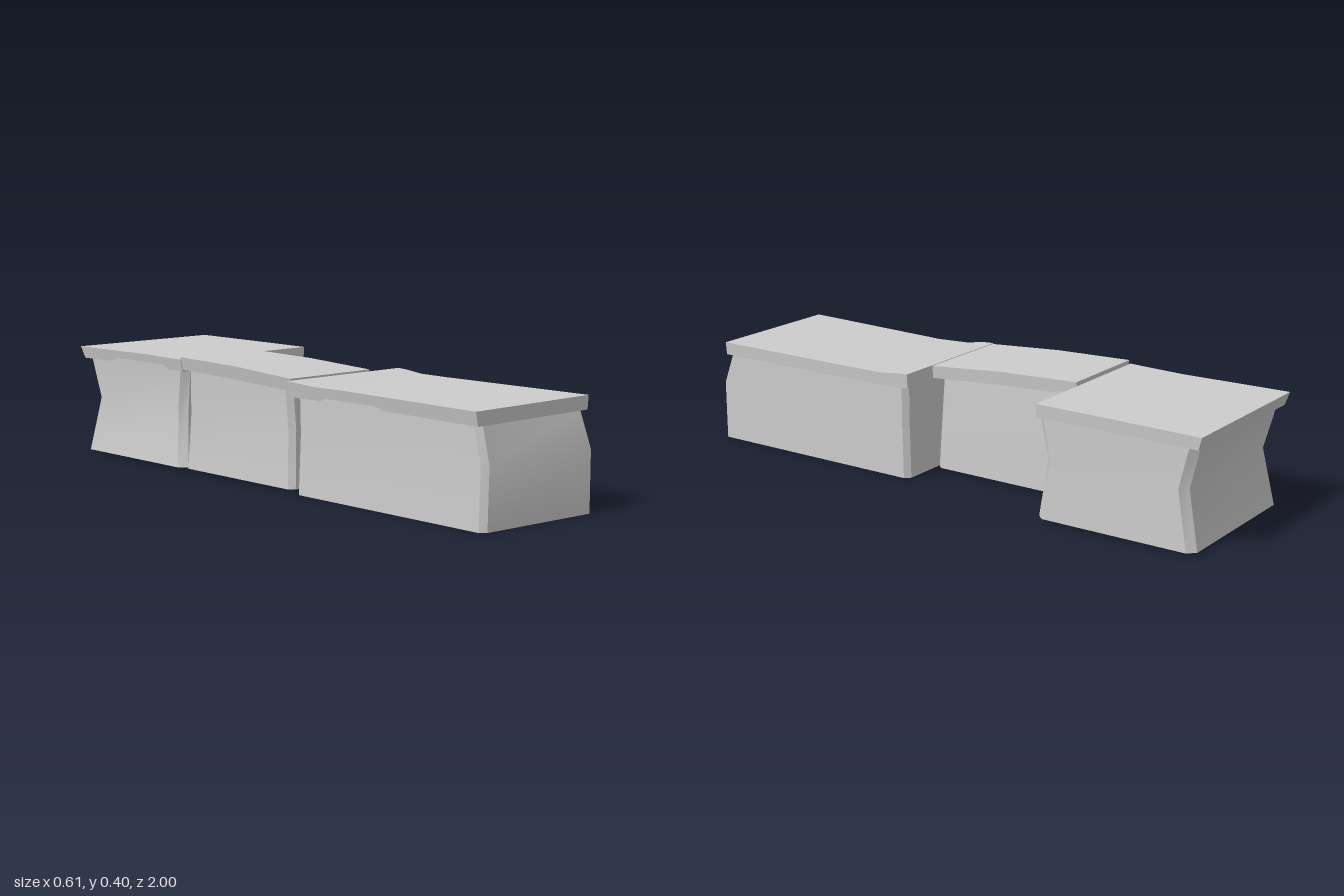
import * as THREE from 'three';
import { toCreasedNormals } from 'three/addons/utils/BufferGeometryUtils.js';

// Skin a row of matching rings; optionally close both ends.
function loft(rings, capped) {
  const pos = [];
  const tri = (a, b, c) => pos.push(...a, ...b, ...c);
  const n = rings[0].length;
  for (let r = 0; r < rings.length - 1; r++) {
    const a = rings[r], b = rings[r + 1];
    for (let i = 0; i < n; i++) {
      const j = (i + 1) % n;
      tri(a[i], a[j], b[j]);
      tri(a[i], b[j], b[i]);
    }
  }
  if (capped) {
    const first = rings[0], last = rings[rings.length - 1];
    for (let i = 1; i < n - 1; i++) {
      tri(first[0], first[i + 1], first[i]);
      tri(last[0], last[i], last[i + 1]);
    }
  }
  const geo = new THREE.BufferGeometry();
  geo.setAttribute('position', new THREE.Float32BufferAttribute(pos, 3));
  return toCreasedNormals(geo, 0.5);
}

// Horizontal rectangle with cut corners; skew pulls the -x front corner back.
function bodyRing([y, xl, xr, zb, zf, skew = 0], c) {
  const zl = zf - skew;
  return [
    [xr - c, y, zf], [xr, y, zf - c], [xr, y, zb + c], [xr - c, y, zb],
    [xl + c, y, zb], [xl, y, zb + c], [xl, y, zl - c], [xl + c, y, zl],
  ];
}

// Lid cross-section at one z, slightly narrower underneath.
function lidRing([z, xl, xr, yb, yt, shift = 0]) {
  return [
    [xl + 0.01, yb, z + shift], [xr - 0.004, yb, z + shift],
    [xr, yt, z], [xl, yt, z],
  ];
}

// Body levels: y, left, right, back, front, skew. Lid stations: z, left, right, bottom, top, shift.
const blocks = [
  {
    name: 'front', cut: 0.018,
    body: [
      [0, -0.275, 0.195, 0.16, 1.0, 0.03],
      [0.2, -0.27, 0.195, 0.165, 1.0, 0.03],
      [0.325, -0.273, 0.195, 0.165, 0.952, 0.01],
    ],
    lid: [
      [0.153, -0.3, 0.205, 0.32, 0.37],
      [0.19, -0.3, 0.205, 0.318, 0.368],
      [0.26, -0.285, 0.205, 0.316, 0.36],
      [0.37, -0.272, 0.205, 0.315, 0.359],
      [0.963, -0.306, 0.207, 0.315, 0.36],
    ],
  },
  {
    name: 'middle', cut: 0.018,
    body: [
      [0.01, -0.272, 0.06, -0.41, 0.14],
      [0.2, -0.26, 0.055, -0.405, 0.13],
      [0.36, -0.268, 0.045, -0.395, 0.125],
    ],
    lid: [
      [-0.408, -0.288, 0.045, 0.354, 0.398],
      [-0.13, -0.283, 0.06, 0.345, 0.391],
      [0.14, -0.276, 0.08, 0.331, 0.374],
    ],
  },
  {
    name: 'back', cut: 0.025,
    body: [
      [0.01, -0.283, 0.283, -0.975, -0.41],
      [0.205, -0.255, 0.28, -0.94, -0.44],
      [0.36, -0.268, 0.283, -0.978, -0.408],
    ],
    lid: [
      [-1.0, -0.282, 0.304, 0.345, 0.387, 0.012],
      [-0.62, -0.268, 0.297, 0.345, 0.388],
      [-0.416, -0.283, 0.294, 0.345, 0.388],
    ],
  },
];

export function createModel() {
  const group = new THREE.Group();
  const grey = new THREE.MeshStandardMaterial({ color: 0xcccccc, side: THREE.DoubleSide });
  grey.name = 'paleGrey';

  for (const { name, cut, body, lid } of blocks) {
    // Hollow walls, open underneath
    const walls = new THREE.Mesh(loft(body.map((l) => bodyRing(l, cut)), false), grey);
    walls.name = name + 'Walls';
    // Overhanging slab
    const slab = new THREE.Mesh(loft(lid.map(lidRing), true), grey);
    slab.name = name + 'RoofSlab';
    const block = new THREE.Group();
    block.name = name + 'Block';
    block.add(walls, slab);
    group.add(block);
  }
  return group;
}
